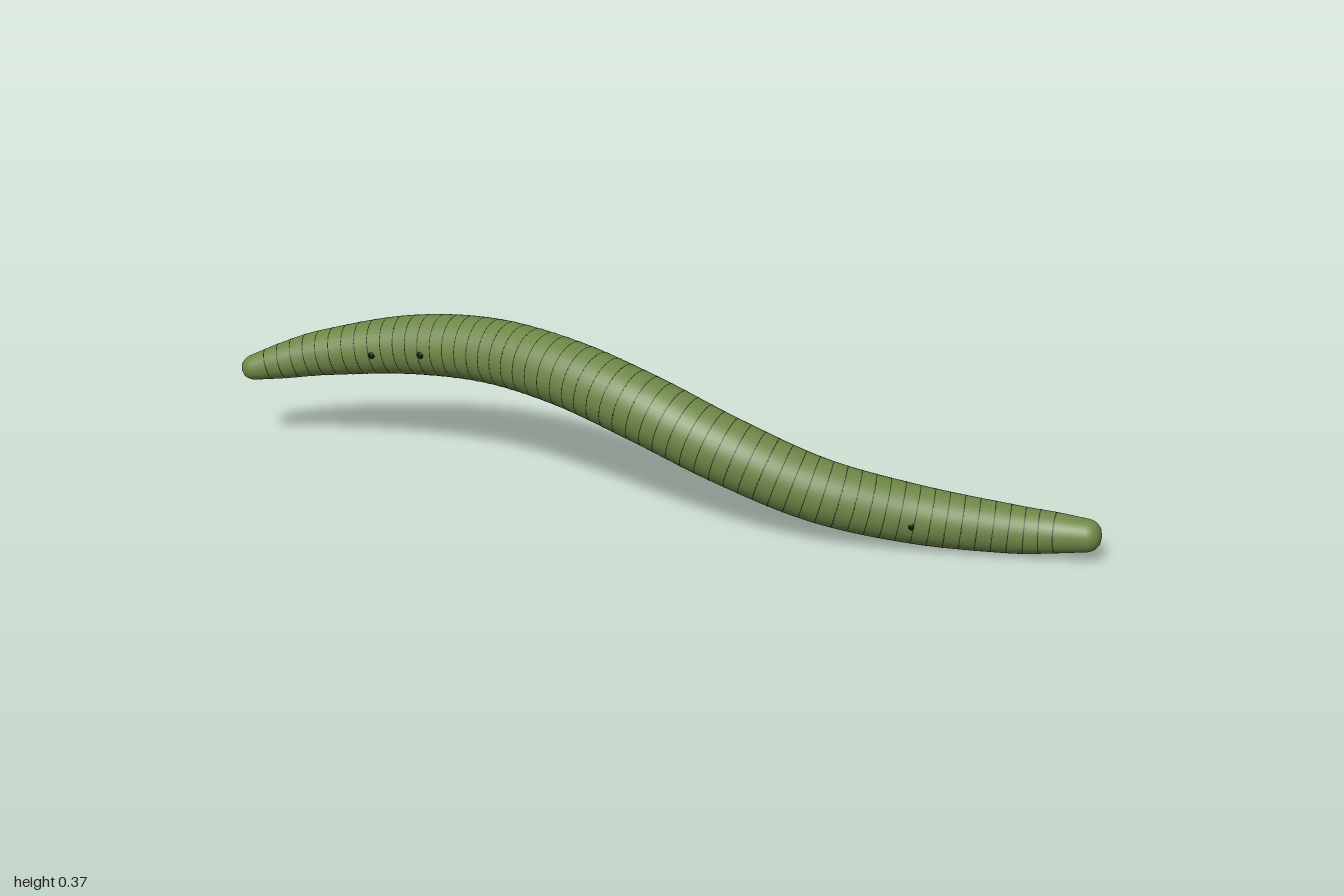
import * as THREE from 'three';
import { mergeVertices } from 'three/addons/utils/BufferGeometryUtils.js';

// Stations along the body: x, y, z of the centreline and radius
const STATIONS = [
  [-1.0, 0.183, 0.005, 0.026],
  [-0.9, 0.211, -0.025, 0.042],
  [-0.8, 0.237, -0.047, 0.053],
  [-0.6, 0.276, -0.067, 0.067],
  [-0.4, 0.295, -0.053, 0.073],
  [-0.2, 0.288, -0.008, 0.075],
  [0.0, 0.25, 0.035, 0.076],
  [0.2, 0.187, 0.053, 0.074],
  [0.4, 0.12, 0.036, 0.07],
  [0.6, 0.076, -0.011, 0.064],
  [0.8, 0.056, -0.053, 0.053],
  [0.9, 0.057, -0.066, 0.044],
  [1.0, 0.066, -0.062, 0.033],
];
const CAP = 0.03; // length of the rounded ends

const spine = new THREE.CatmullRomCurve3(
  STATIONS.map(([x, y, z]) => new THREE.Vector3(x, y, z)), false, 'catmullrom', 0.5);
const radii = new THREE.SplineCurve(STATIONS.map(([x, , , r]) => new THREE.Vector2(x, r)));

function radiusAt(u) {
  const r = radii.getPoint(spine.getUtoTmapping(u)).y;
  const d = Math.min(u, 1 - u) * spine.getLength();
  const k = 1 - Math.min(d / CAP, 1);
  return r * Math.sqrt(Math.max(0, 1 - k * k));
}

// Tapered tube: each ring of a unit tube is pulled in to the local radius
function bodyGeometry(segments, sides) {
  const tube = new THREE.TubeGeometry(spine, segments, 1, sides, false);
  const pos = tube.attributes.position;
  const p = new THREE.Vector3();
  for (let i = 0; i <= segments; i++) {
    const u = i / segments;
    const centre = spine.getPointAt(u);
    const r = radiusAt(u);
    for (let j = 0; j <= sides; j++) {
      const k = i * (sides + 1) + j;
      p.fromBufferAttribute(pos, k).sub(centre).multiplyScalar(r).add(centre);
      pos.setXYZ(k, p.x, p.y, p.z);
    }
  }
  tube.deleteAttribute('uv');
  tube.deleteAttribute('normal');
  const merged = mergeVertices(tube, 1e-5);
  merged.computeVertexNormals();
  return merged;
}

export function createModel() {
  const group = new THREE.Group();
  group.name = 'worm';
  const skin = new THREE.MeshStandardMaterial({ color: 0x6f8748 });
  const dark = new THREE.MeshStandardMaterial({ color: 0x2c3a1c });
  const black = new THREE.MeshStandardMaterial({ color: 0x11150c });

  const body = new THREE.Mesh(bodyGeometry(320, 40), skin);
  body.name = 'body';
  group.add(body);

  // Fine segment grooves, almost flush with the skin
  const rings = new THREE.Group();
  rings.name = 'segmentRings';
  const count = 62;
  const zAxis = new THREE.Vector3(0, 0, 1);
  for (let i = 2; i < count - 2; i++) {
    const u = i / count;
    const tube = 0.0025;
    const ring = new THREE.Mesh(
      new THREE.TorusGeometry(radiusAt(u) - tube + 0.0006, tube, 6, 40), dark);
    ring.name = 'segmentRing';
    ring.position.copy(spine.getPointAt(u));
    ring.quaternion.setFromUnitVectors(zAxis, spine.getTangentAt(u));
    rings.add(ring);
  }
  group.add(rings);

  // Small pores on the front side
  for (const x of [-0.67, -0.55, 0.61]) {
    let u = 0;
    while (u < 1 && spine.getPointAt(u).x < x) u += 0.002;
    const pore = new THREE.Mesh(new THREE.SphereGeometry(0.008, 12, 8), black);
    pore.name = 'pore';
    pore.scale.z = 0.35;
    pore.position.copy(spine.getPointAt(u));
    pore.position.z += radiusAt(u) + 0.001;
    group.add(pore);
  }
  return group;
}
